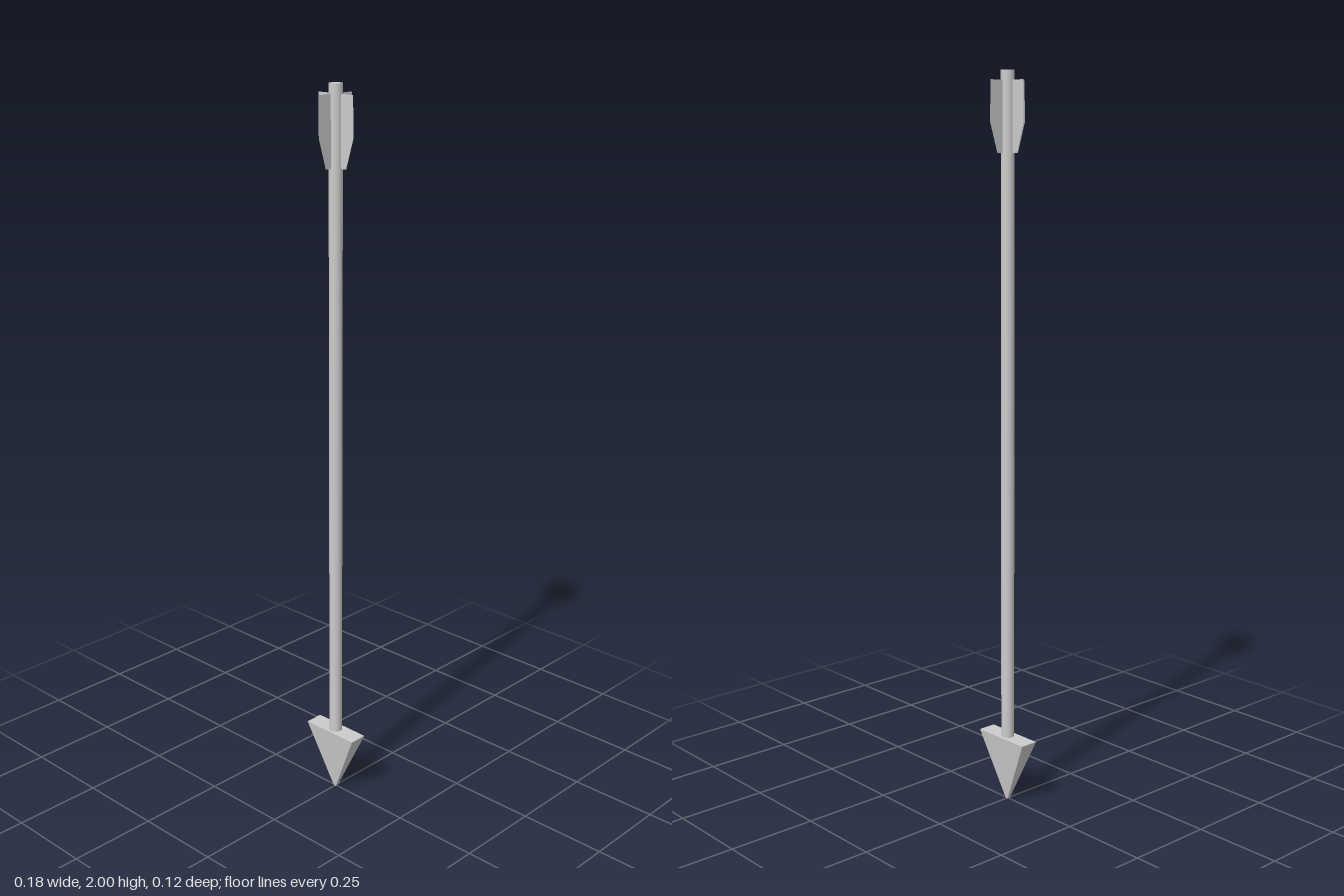
import * as THREE from 'three';

const grey = new THREE.MeshStandardMaterial({ color: 0xcccccc });
const greyFlat = new THREE.MeshStandardMaterial({ color: 0xcccccc, flatShading: true });
const greyThin = new THREE.MeshStandardMaterial({ color: 0xcccccc, side: THREE.DoubleSide });

function addPart(parent, name, geometry, material) {
  const mesh = new THREE.Mesh(geometry, material);
  mesh.name = name;
  parent.add(mesh);
  return mesh;
}

// Wedge head: a box narrowed to a tiny blunt tip at the bottom
function headGeometry(width, height, depth, tip) {
  const geometry = new THREE.BoxGeometry(width, height, depth);
  const p = geometry.attributes.position;
  for (let i = 0; i < p.count; i++) {
    if (p.getY(i) < 0) {
      p.setX(i, Math.sign(p.getX(i)) * tip);
      p.setZ(i, Math.sign(p.getZ(i)) * tip);
    }
  }
  geometry.translate(0, height / 2, 0);
  geometry.computeVertexNormals();
  return geometry;
}

export function createModel() {
  const arrow = new THREE.Group();
  arrow.name = 'arrow';

  // Round shaft, set into the head
  const bottom = 0.17, top = 2;
  const shaft = new THREE.CylinderGeometry(0.018, 0.018, top - bottom, 32);
  addPart(arrow, 'shaft', shaft, grey).position.y = (bottom + top) / 2;

  addPart(arrow, 'head', headGeometry(0.176, 0.187, 0.052, 0.004), greyFlat);

  // Four thin fins around the shaft
  const outline = [[0, 1.79], [0.036, 1.79], [0.061, 1.87], [0.059, 1.975], [0, 1.975]];
  const fin = new THREE.ShapeGeometry(new THREE.Shape(outline.map(([x, y]) => new THREE.Vector2(x, y))));
  const fletching = new THREE.Group();
  fletching.name = 'fletching';
  for (let i = 0; i < 4; i++) {
    addPart(fletching, `fin${i + 1}`, fin, greyThin).rotation.y = (i * Math.PI) / 2;
  }
  arrow.add(fletching);

  return arrow;
}
